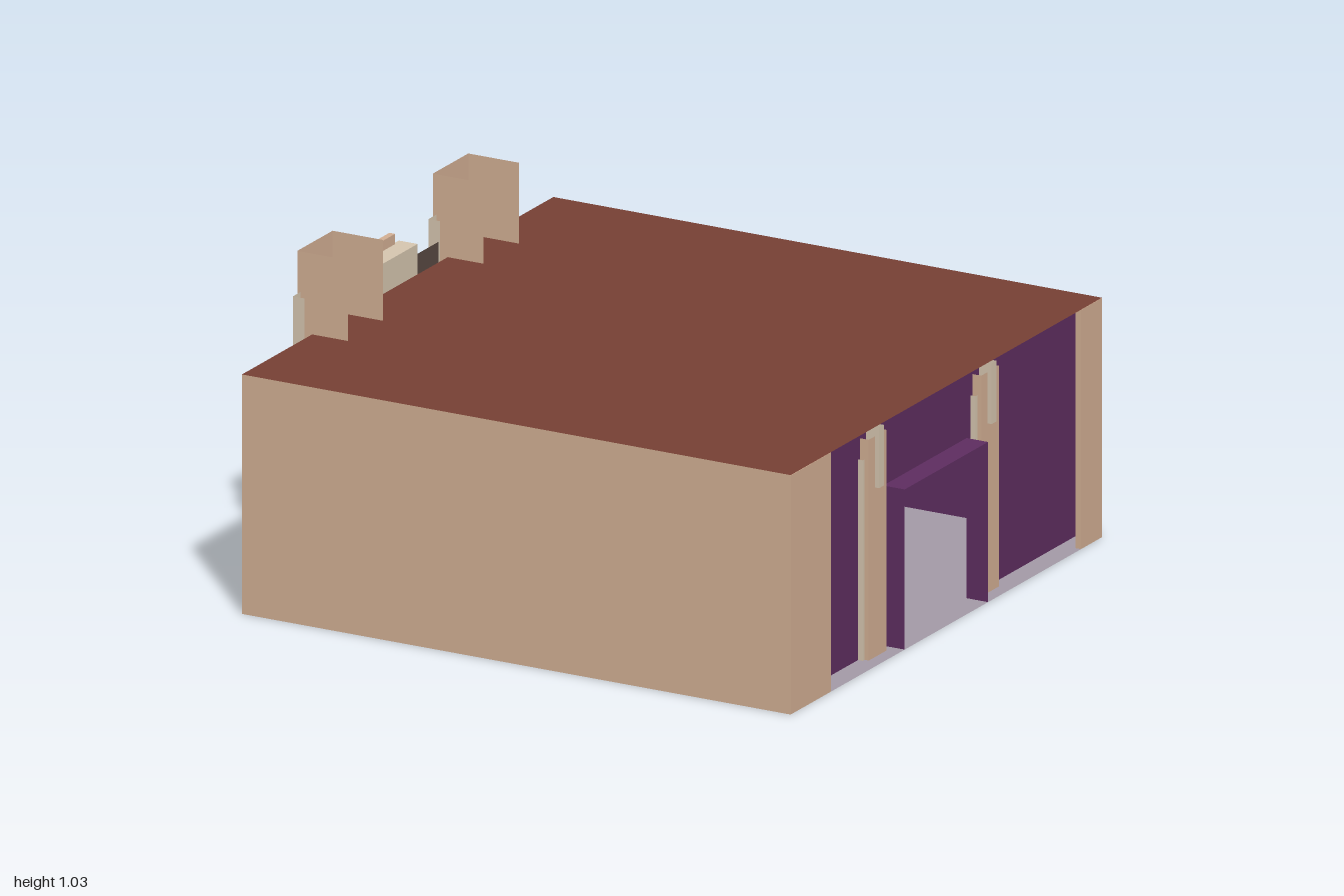
import * as THREE from 'three';
import { mergeGeometries } from 'three/addons/utils/BufferGeometryUtils.js';

const mat = (color) => new THREE.MeshStandardMaterial({ color, side: THREE.DoubleSide });

// Flat panels across each axis; dir is the facing sign
const panelX = (x, z0, z1, y0, y1, dir = 1) =>
  new THREE.PlaneGeometry(z1 - z0, y1 - y0).rotateY(dir * Math.PI / 2).translate(x, (y0 + y1) / 2, (z0 + z1) / 2);
const panelZ = (z, x0, x1, y0, y1, dir = 1) =>
  new THREE.PlaneGeometry(x1 - x0, y1 - y0).rotateY(dir > 0 ? 0 : Math.PI).translate((x0 + x1) / 2, (y0 + y1) / 2, z);
const panelY = (y, x0, x1, z0, z1, dir = 1) =>
  new THREE.PlaneGeometry(x1 - x0, z1 - z0).rotateX(-dir * Math.PI / 2).translate((x0 + x1) / 2, y, (z0 + z1) / 2);
const block = (x0, x1, y0, y1, z0, z1) =>
  new THREE.BoxGeometry(x1 - x0, y1 - y0, z1 - z0).translate((x0 + x1) / 2, (y0 + y1) / 2, (z0 + z1) / 2);

// Open pillar casing: a front and two sides, no top or back
function channel(front, back, z0, z1, y0, y1) {
  const dir = Math.sign(front - back);
  const a = Math.min(front, back), b = Math.max(front, back);
  return mergeGeometries([
    panelX(front, z0, z1, y0, y1, dir),
    panelZ(z0, a, b, y0, y1, -1),
    panelZ(z1, a, b, y0, y1, 1),
  ]);
}

// Wall across x with a doorway in the middle
const DOOR_Z = 0.257, DOOR_Y = 0.515;
const doorWall = (x, z0, z1, y1, dir) => mergeGeometries([
  panelX(x, z0, -DOOR_Z, 0, y1, dir),
  panelX(x, DOOR_Z, z1, 0, y1, dir),
  panelX(x, -DOOR_Z, DOOR_Z, DOOR_Y, y1, dir),
]);
// Lining of a doorway: two jambs and a head
const doorLining = (x0, x1) => mergeGeometries([
  panelZ(-DOOR_Z, x0, x1, 0, DOOR_Y, 1),
  panelZ(DOOR_Z, x0, x1, 0, DOOR_Y, -1),
  panelY(DOOR_Y, x0, x1, -DOOR_Z, DOOR_Z, -1),
]);

export function createModel() {
  const model = new THREE.Group();
  const tan = mat(0xd6b296), cream = mat(0xd9c9b2), purple = mat(0x602e62);
  const brown = mat(0x784135), dark = mat(0x594a43), lavender = mat(0xa69ca9);
  const add = (name, geometry, material) => {
    const mesh = new THREE.Mesh(geometry, material);
    mesh.name = name;
    model.add(mesh);
  };
  const X0 = -0.92, X1 = 1, Z = 0.96, H = 0.77, WALL = 0.925, INNER = 0.91;

  // Shell
  add('roof', panelY(H, X0, X1, -Z, Z), brown);
  add('floor', panelY(0, X0, X1, -Z, Z), lavender);
  for (const s of [-1, 1]) {
    add('sideWall', panelZ(s * Z, X0, X1, 0, H, s), tan);
    add('innerSideWall', panelZ(s * INNER, -0.87, WALL, 0.001, H - 0.001, -s), purple);
    add('entranceWall', s > 0 ? panelX(X0, DOOR_Z, Z, 0, H, -1) : panelX(X0, -Z, -DOOR_Z, 0, H, -1), tan);
  }
  add('rightCornerWall', block(0.98, X1, 0, H - 0.001, 0.71, Z - 0.001), tan);
  add('leftCornerWall', block(0.98, X1, 0, H - 0.001, -Z + 0.001, -0.83), tan);

  // Recessed wall and its projecting door frame
  add('recessedWall', doorWall(WALL, -Z + 0.002, Z - 0.002, H - 0.001, 1), purple);
  add('recessedDoorFrame', doorLining(WALL, X1), purple);
  add('innerEntranceWall', doorWall(-0.87, -INNER, INNER, H - 0.001, 1), purple);

  // Entrance door
  add('entranceDoorLining', doorLining(X0, -0.87), dark);
  add('entranceLintel', panelX(-0.922, -DOOR_Z, DOOR_Z, DOOR_Y, 0.835, -1), dark);

  // Emblem block over the entrance
  add('emblemBacking', block(-0.987, X0 - 0.001, 0.615, 0.867, -0.125, 0.125), cream);
  add('emblemFace', block(-1, -0.98, 0.65, 0.9, -0.09, 0.09), tan);

  // Pillars beside both doorways
  for (const s of [-1, 1]) {
    const c = s * 0.418;
    add('entrancePillar', channel(-0.972, -0.795, c - 0.109, c + 0.109, 0, 1.03), tan);
    add('entrancePillarTrim', channel(-0.96, X0, c - 0.157, c + 0.157, 0, 0.9), cream);
    const p = s * 0.347;
    add('innerPillarTrim', channel(0.942, WALL, p - 0.065, p + 0.065, 0, 0.645), cream);
    add('innerPillar', channel(0.956, WALL, p - 0.054, p + 0.054, 0, 0.71), tan);
    add('innerPillarLamp', channel(0.97, WALL, p - 0.015, p + 0.015, 0.545, 0.74), cream);
  }
  return model;
}
